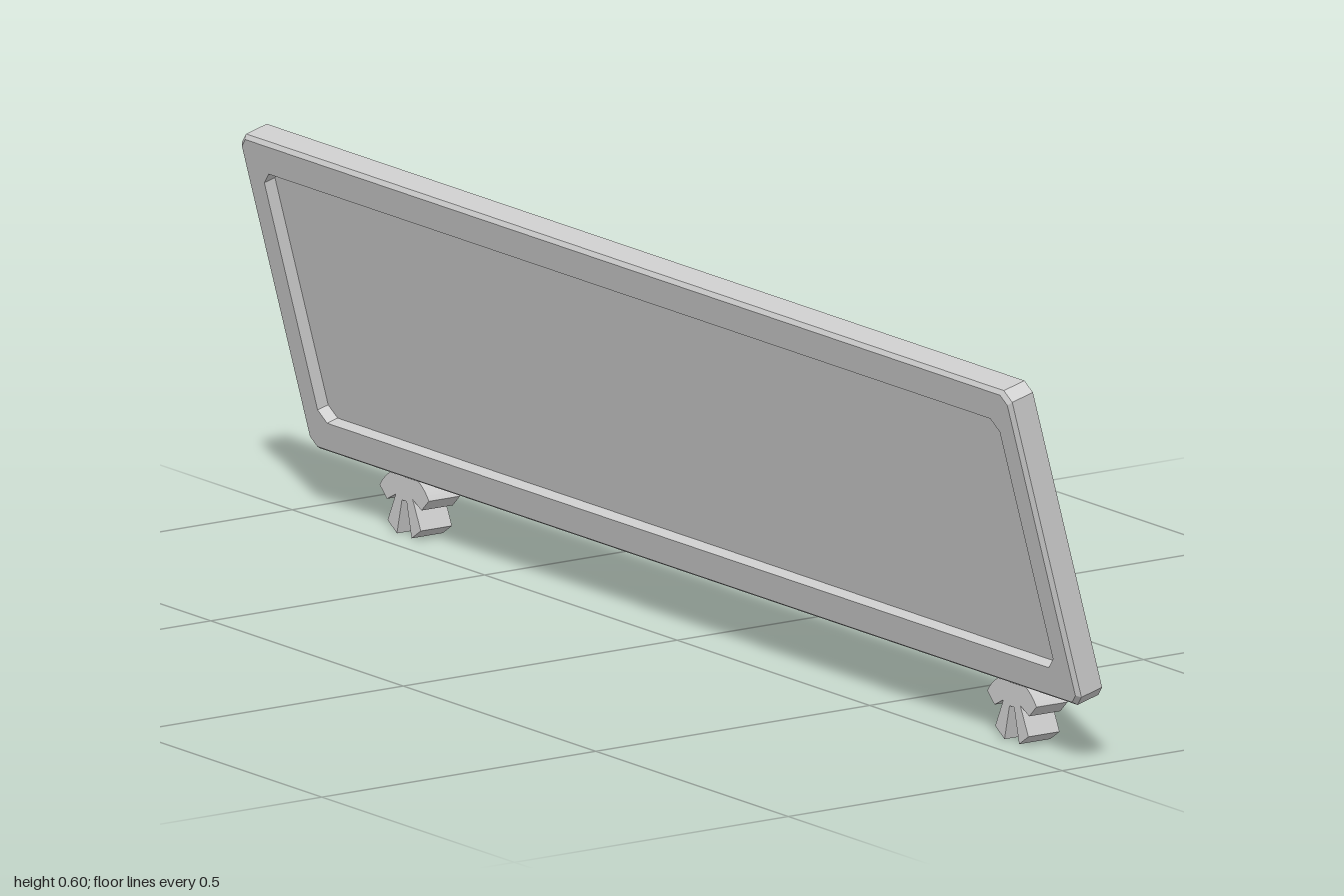
import * as THREE from 'three';

const material = new THREE.MeshStandardMaterial({ color: 0xcccccc, flatShading: true });

// Rectangle with clipped corners, counter-clockwise, at height z
function clippedRect(hw, hh, c, z) {
  return [
    [hw - c, -hh], [hw, -hh + c], [hw, hh - c], [hw - c, hh],
    [-hw + c, hh], [-hw, hh - c], [-hw, -hh + c], [-hw + c, -hh],
  ].map(([x, y]) => new THREE.Vector3(x, y, z));
}

// Skin a list of loops and close both ends with convex caps
function skinLoops(loops) {
  const points = [];
  const n = loops[0].length;
  for (let k = 0; k < loops.length - 1; k++) {
    const a = loops[k], b = loops[k + 1];
    for (let i = 0; i < n; i++) {
      const j = (i + 1) % n;
      points.push(a[i], a[j], b[j], a[i], b[j], b[i]);
    }
  }
  const first = loops[0], last = loops[loops.length - 1];
  for (let i = 1; i < n - 1; i++) {
    points.push(first[0], first[i + 1], first[i], last[0], last[i], last[i + 1]);
  }
  const geometry = new THREE.BufferGeometry().setFromPoints(points);
  geometry.computeVertexNormals();
  return geometry;
}

// Flat board with a beveled front rim and a recessed face
function createPanel() {
  const hw = 1, hh = 0.26, thick = 0.045, bevel = 0.006, recess = 0.02;
  const geometry = skinLoops([
    clippedRect(hw, hh, 0.016, 0),
    clippedRect(hw, hh, 0.016, thick - bevel),
    clippedRect(hw - bevel, hh - bevel, 0.014, thick),
    clippedRect(hw - 0.045, hh - 0.054, 0.018, thick),
    clippedRect(hw - 0.045, hh - 0.054, 0.018, thick - recess),
  ]);
  geometry.translate(0, hh, 0);
  const panel = new THREE.Mesh(geometry, material);
  panel.name = 'panel';
  panel.position.set(0, 0.1025, -0.077);
  panel.rotation.x = THREE.MathUtils.degToRad(15);
  return panel;
}

// Foot: domed cap with four splayed prongs, extruded front to back
function createFootGeometry() {
  const half = [[0.064, 0.066], [0.045, 0.048], [0.022, 0.06], [0.043, 0.016], [0.019, 0], [0.006, 0.054]];
  const shape = new THREE.Shape();
  const radius = 0.077, centerY = 0.023, end = Math.asin(0.064 / radius);
  shape.absarc(0, centerY, radius, Math.PI / 2 - end, Math.PI / 2 + end, false);
  half.forEach(([x, y]) => shape.lineTo(-x, y));
  [...half].reverse().forEach(([x, y]) => shape.lineTo(x, y));
  return new THREE.ExtrudeGeometry(shape, { depth: 0.057, bevelEnabled: false, curveSegments: 16 });
}

export function createModel() {
  const model = new THREE.Group();
  model.name = 'tiltedBoard';
  model.add(createPanel());

  const footGeometry = createFootGeometry();
  for (const [name, x] of [['rightFoot', -0.77], ['leftFoot', 0.808]]) {
    const foot = new THREE.Mesh(footGeometry, material);
    foot.name = name;
    foot.position.set(x, 0, -0.1);
    model.add(foot);
  }
  return model;
}
